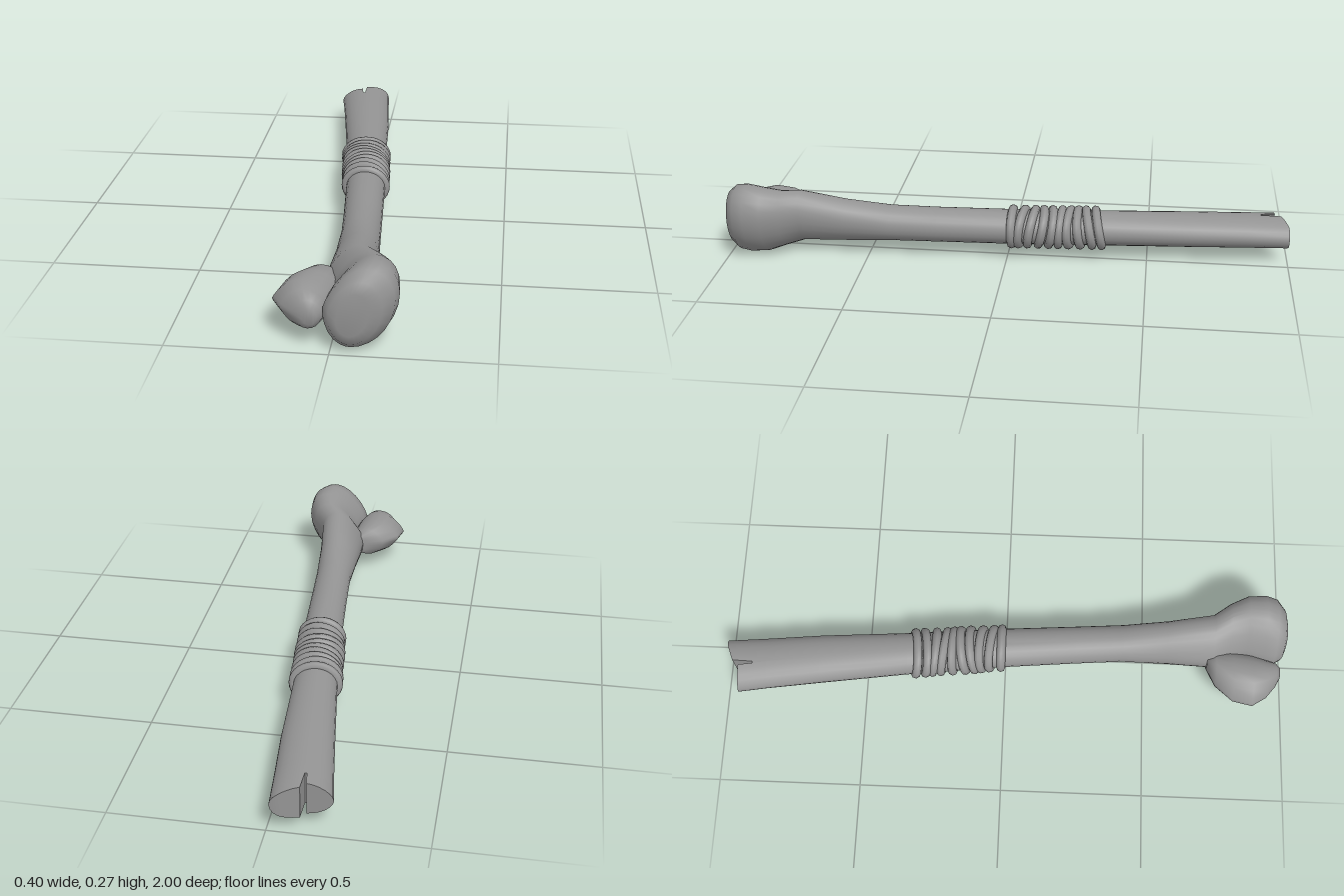
import * as THREE from 'three';
import { toCreasedNormals } from 'three/addons/utils/BufferGeometryUtils.js';

const material = new THREE.MeshStandardMaterial({ color: 0x949494 });

// Even cross-section columns, from +1 (left side) to -1 (right side)
const columns = (m) => Array.from({ length: m + 1 }, (_, k) => Math.cos((Math.PI * k) / m));

// Closed loft along z. Ring: [z, centreX, centreY, radiusX, radiusY, lean, pinch]
// pinch above 0.5 sharpens the right edge of the cross-section
function loft(name, rings, us, { startZ = null, crease = 1 } = {}) {
  const m = us.length - 1;
  const n = 2 * m;
  const pos = [];
  const idx = [];
  rings.forEach(([z, cx, cy, rx, ry, lean = 0, pinch = 0.5], i) => {
    for (let k = 0; k < n; k++) {
      const u = us[k <= m ? k : n - k];
      const h = ry * Math.pow(Math.max(0, 1 - u * u), u < 0 ? pinch : 0.5) * (k <= m ? 1 : -1);
      pos.push(cx + rx * u + lean * h, cy + h, i === 0 && startZ ? startZ(u) : z);
    }
  });
  for (let i = 0; i < rings.length - 1; i++) {
    for (let k = 0; k < n; k++) {
      const a = i * n + k;
      const b = i * n + ((k + 1) % n);
      idx.push(a, b, b + n, a, b + n, a + n);
    }
  }
  // Caps made of strips between the top and bottom halves
  const last = (rings.length - 1) * n;
  for (let k = 0; k < m; k++) {
    const t0 = k, t1 = k + 1, b0 = (n - k) % n, b1 = n - k - 1;
    if (k > 0) idx.push(t0, b0, b1, last + t0, last + b1, last + b0);
    if (k < m - 1) idx.push(t0, b1, t1, last + t0, last + t1, last + b1);
  }
  const geometry = new THREE.BufferGeometry();
  geometry.setAttribute('position', new THREE.Float32BufferAttribute(pos, 3));
  geometry.setIndex(idx);
  const mesh = new THREE.Mesh(toCreasedNormals(geometry, crease), material);
  mesh.name = name;
  return mesh;
}

// Broken end: long prong, narrow notch, short prong
function brokenEnd(u) {
  if (u > 0.04) return -0.97 - 0.03 * Math.min(1, u * 1.3);
  if (u > -0.11) return -0.9;
  return -0.95;
}

// Shaft flaring into the large knuckle
const shaftRings = [
  [-0.95, -0.105, 0.098, 0.095, 0.056, 0, 0.6],
  [-0.85, -0.09, 0.1, 0.093, 0.057, 0, 0.55],
  [-0.66, -0.067, 0.103, 0.088, 0.058],
  [-0.35, -0.035, 0.106, 0.076, 0.06],
  [0, 0, 0.11, 0.07, 0.061],
  [0.25, 0.019, 0.114, 0.067, 0.062],
  [0.42, 0.031, 0.118, 0.066, 0.064],
  [0.58, 0.037, 0.124, 0.071, 0.081, 0.15, 0.55],
  [0.74, 0.042, 0.137, 0.081, 0.103, 0.25, 0.65],
  [0.8, 0.078, 0.138, 0.087, 0.113, 0.25, 0.65],
  [0.86, 0.096, 0.138, 0.098, 0.13, 0.22, 0.65],
  [0.92, 0.09, 0.138, 0.109, 0.137, 0.22, 0.65],
  [0.96, 0.084, 0.138, 0.106, 0.13, 0.2, 0.65],
  [0.99, 0.077, 0.136, 0.08, 0.103, 0.18, 0.6],
  [1, 0.07, 0.134, 0.048, 0.07, 0.15],
];

// Shaft centre and radii at any z
function shaftAt(z) {
  const i = shaftRings.findIndex((r) => r[0] >= z);
  const a = shaftRings[i - 1], b = shaftRings[i];
  const t = (z - a[0]) / (b[0] - a[0]);
  return a.slice(0, 5).map((v, j) => THREE.MathUtils.lerp(v, b[j], t));
}

// Cord loops wound round the shaft, each with its own tilt
function createBinding() {
  const binding = new THREE.Group();
  binding.name = 'cordBinding';
  const count = 10;
  for (let i = 0; i < count; i++) {
    const z = -0.016 - (i * 0.308) / (count - 1);
    const [, cx, cy, rx, ry] = shaftAt(z);
    const tiltY = -0.012 * Math.sin(i * 0.55);
    const tiltX = 0.009 * Math.sin(i * 1.3);
    const points = [];
    for (let k = 0; k < 16; k++) {
      const a = (k / 16) * Math.PI * 2;
      const c = Math.cos(a), s = Math.sin(a);
      points.push(new THREE.Vector3(cx + (rx + 0.001) * c, cy + (ry + 0.001) * s, z + tiltX * c + tiltY * s));
    }
    const curve = new THREE.CatmullRomCurve3(points, true);
    const loop = new THREE.Mesh(new THREE.TubeGeometry(curve, 32, 0.016, 8, true), material);
    loop.name = 'cordLoop';
    binding.add(loop);
  }
  return binding;
}

export function createModel() {
  const model = new THREE.Group();
  model.name = 'bone';

  // Columns are packed round the notch so its walls stay steep
  const shaftColumns = [1, 0.96, 0.86, 0.7, 0.5, 0.26, 0.05, 0.03, -0.1, -0.12, -0.3, -0.5, -0.7, -0.86, -0.96, -1];
  model.add(loft('shaftAndLargeKnuckle', shaftRings, shaftColumns, { startZ: brokenEnd }));

  // Smaller knuckle, pinched along its outer edge
  model.add(loft('smallKnuckle', [
    [0.72, -0.03, 0.117, 0.022, 0.034],
    [0.75, -0.055, 0.118, 0.064, 0.054, 0, 0.75],
    [0.81, -0.082, 0.117, 0.09, 0.065, 0, 0.85],
    [0.88, -0.094, 0.116, 0.093, 0.069, 0, 0.85],
    [0.93, -0.085, 0.115, 0.07, 0.062, 0, 0.8],
    [0.965, -0.068, 0.113, 0.043, 0.047, 0, 0.65],
    [0.98, -0.06, 0.112, 0.022, 0.026],
  ], columns(10), { crease: 1.2 }));

  model.add(createBinding());
  return model;
}
